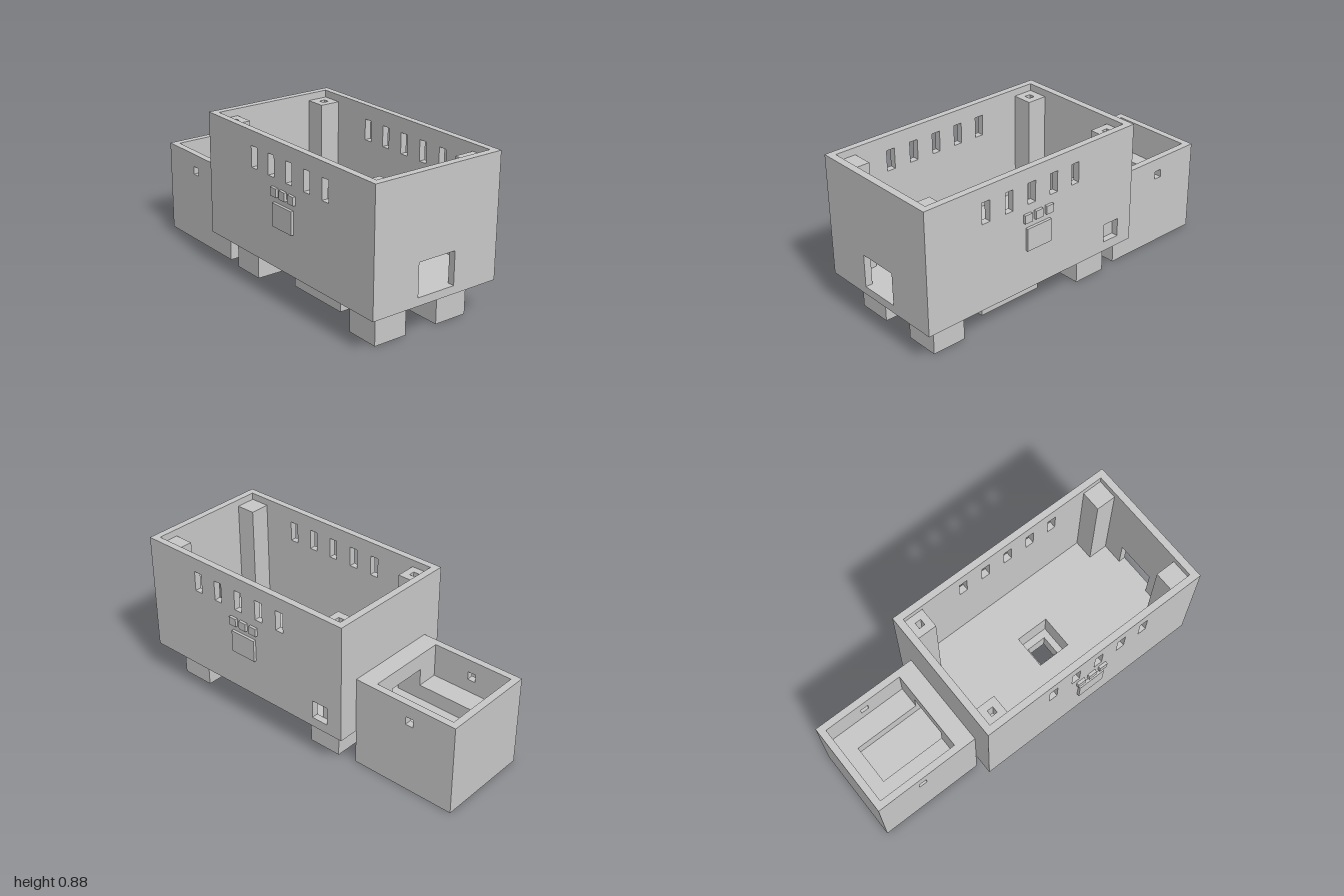
import * as THREE from 'three';

export function createModel() {
  const model = new THREE.Group();
  model.name = 'twoPartEnclosure';
  const grey = new THREE.MeshStandardMaterial({ color: 0xc8c8c8 });
  grey.name = 'lightGrey';

  const add = (name, geometry, parent) => {
    const mesh = new THREE.Mesh(geometry, grey);
    mesh.name = name;
    parent.add(mesh);
  };

  const group = (name) => {
    const g = new THREE.Group();
    g.name = name;
    model.add(g);
    return g;
  };

  // Solid block given by its x, y and z ranges
  const block = (name, x, y, z, parent) => {
    const g = new THREE.BoxGeometry(x[1] - x[0], y[1] - y[0], z[1] - z[0]);
    g.translate((x[0] + x[1]) / 2, (y[0] + y[1]) / 2, (z[0] + z[1]) / 2);
    add(name, g, parent);
  };

  const corners = ([u0, u1], [v0, v1]) => [
    new THREE.Vector2(u0, v0), new THREE.Vector2(u1, v0),
    new THREE.Vector2(u1, v1), new THREE.Vector2(u0, v1),
  ];
  const flip = ([a, b]) => [-b, -a];

  // Block pierced along one axis; holes are pairs of ranges:
  // axis x -> (z, y), axis y -> (x, z), axis z -> (x, y)
  const pierced = (name, axis, x, y, z, holes, parent) => {
    const plane = (u, v) => (axis === 'x' ? corners(flip(u), v) : axis === 'y' ? corners(u, flip(v)) : corners(u, v));
    const [u, v, d] = axis === 'x' ? [z, y, x] : axis === 'y' ? [x, z, y] : [x, y, z];
    const shape = new THREE.Shape(plane(u, v));
    holes.forEach(([a, b]) => shape.holes.push(new THREE.Path(plane(a, b).reverse())));
    const g = new THREE.ExtrudeGeometry(shape, { depth: d[1] - d[0], bevelEnabled: false });
    g.translate(0, 0, d[0]);
    if (axis === 'x') g.rotateY(Math.PI / 2);
    if (axis === 'y') g.rotateX(-Math.PI / 2);
    add(name, g, parent);
  };

  const FLOOR = 0.245;
  const doorway = [[-0.115, 0.115], [FLOOR, 0.43]];
  const windows = [0.039, 0.187, 0.335, 0.483, 0.631].map((x) => [[x - 0.025, x + 0.025], [0.686, 0.803]]);
  const recess = [[0.211, 0.407], [-0.098, 0.098]];

  // Large open tray: long walls with windows, end walls with doorways
  const tray = group('mainTray');
  const rim = [0.2, 0.885];
  pierced('frontWall', 'z', [-0.38, 1], rim, [0.355, 0.393], windows, tray);
  pierced('backWall', 'z', [-0.38, 1], rim, [-0.393, -0.355],
    [...windows, [[-0.285, -0.183], [0.255, 0.36]]], tray);
  pierced('leftEndWall', 'x', [0.96, 1], rim, [-0.355, 0.355], [doorway], tray);
  pierced('rightEndWall', 'x', [-0.38, -0.34], rim, [-0.355, 0.355], [doorway], tray);
  pierced('trayFloor', 'y', [-0.34, 0.96], [0.2, FLOOR], [-0.355, 0.355], [recess], tray);

  // Corner posts; the pair next to the small box has sockets
  const posts = group('cornerPosts');
  for (const z of [[0.238, 0.355], [-0.355, -0.238]]) {
    const c = Math.sign(z[0]) * 0.297;
    block('plainPost', [0.845, 0.96], [FLOOR, 0.845], z, posts);
    block('socketPost', [-0.34, -0.223], [FLOOR, 0.745], z, posts);
    pierced('socketPostTop', 'y', [-0.34, -0.223], [0.745, 0.845], z,
      [[[-0.298, -0.263], [c - 0.018, c + 0.018]]], posts);
  }

  // Feet and central hub with a stepped shaft hole
  const feet = group('feet');
  for (const x of [[-0.278, -0.082], [0.705, 0.9]])
    for (const z of [[0.1, 0.295], [-0.295, -0.1]]) block('foot', x, [0, 0.2], z, feet);
  const hub = group('centralHub');
  pierced('hubUpper', 'y', [0.114, 0.506], [0.1, 0.2], [-0.196, 0.196], [recess], hub);
  pierced('hubLower', 'y', [0.114, 0.506], [0, 0.1], [-0.196, 0.196], [[[0.252, 0.369], [-0.057, 0.057]]], hub);

  // Raised buttons and panel on both long walls
  const controls = group('controlPanels');
  for (const z of [[0.393, 0.409], [-0.409, -0.393]]) {
    for (const x of [0.223, 0.296, 0.368]) block('button', [x - 0.024, x + 0.024], [0.592, 0.639], z, controls);
    block('panel', [0.215, 0.376], [0.43, 0.558], z, controls);
  }

  // Small open box joined to the end of the tray
  const box = group('smallBox');
  const peephole = [[-0.747, -0.7], [0.404, 0.45]];
  pierced('frontWall', 'z', [-1, -0.38], [0, 0.525], [0.238, 0.277], [peephole], box);
  pierced('backWall', 'z', [-1, -0.38], [0, 0.525], [-0.277, -0.238], [peephole], box);
  block('endWall', [-1, -0.96], [0, 0.525], [-0.238, 0.238], box);
  pierced('joiningWall', 'x', [-0.485, -0.38], [0, 0.525], [-0.238, 0.238], [doorway], box);

  // Thick floor with a channel leading to the doorway
  block('base', [-0.96, -0.485], [0, FLOOR], [-0.238, 0.238], box);
  block('floorEnd', [-0.96, -0.87], [FLOOR, 0.33], [-0.238, 0.238], box);
  for (const z of [[0.115, 0.238], [-0.238, -0.115]])
    block('floorSide', [-0.87, -0.485], [FLOOR, 0.33], z, box);

  return model;
}
